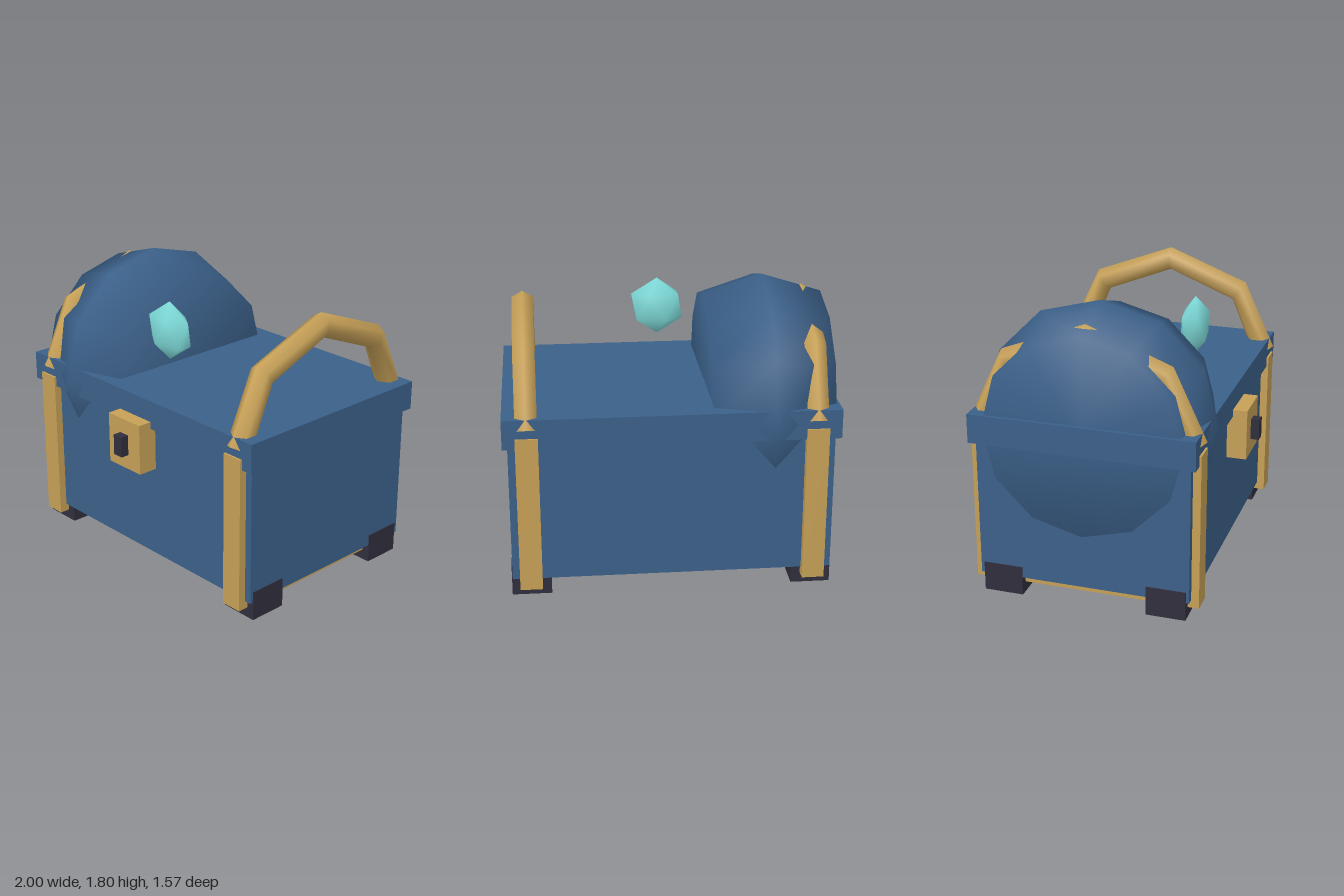
import * as THREE from 'three';
import { mergeVertices } from 'three/addons/utils/BufferGeometryUtils.js';

const MID_Z = -0.05;

export function createModel() {
  const group = new THREE.Group();
  const material = (name, color) => Object.assign(new THREE.MeshStandardMaterial({ color }), { name });
  const blue = material('blue', 0x3b6089);
  const gold = material('gold', 0xc6a057);
  const dark = material('dark', 0x302e3d);
  const aqua = material('aqua', 0x80dfdd);

  const add = (name, geometry, mat) => {
    const mesh = new THREE.Mesh(geometry, mat);
    mesh.name = name;
    group.add(mesh);
    return mesh;
  };
  // box from its minimum and maximum on each axis
  const box = (name, mat, [x0, x1], [y0, y1], [z0, z1]) =>
    add(name, new THREE.BoxGeometry(x1 - x0, y1 - y0, z1 - z0), mat)
      .position.set((x0 + x1) / 2, (y0 + y1) / 2, (z0 + z1) / 2);

  // chest body and lid slab
  box('body', blue, [-0.97, 0.97], [0.115, 0.99], [-0.703, 0.607]);
  box('lidRim', blue, [-1, 1], [0.975, 1.155], [-0.742, 0.642]);

  // lock and keyhole
  box('lockPlate', gold, [-0.142, 0.142], [0.7, 1.02], [0.58, 0.732]);
  box('keyhole', dark, [-0.035, 0.035], [0.795, 0.925], [0.7, 0.785]);

  for (const side of [-1, 1]) {
    const label = side > 0 ? 'left' : 'right';
    const span = (a, b) => (side > 0 ? [a, b] : [-b, -a]);
    // strap wrapped round the front, underside and back
    box(label + 'Strap', gold, span(0.79, 0.925), [0.065, 1.04], [-0.752, 0.655]);
    // corner feet
    box(label + 'FrontFoot', dark, span(0.735, 0.975), [0, 0.185], [0.343, 0.587]);
    box(label + 'BackFoot', dark, span(0.735, 0.975), [0, 0.185], [-0.682, -0.437]);
    // hoop over the lid
    add(label + 'Hoop', hoopGeometry(), gold).position.set(side * 0.857, 0, MID_Z);
  }

  // barrel bulge at one end of the lid, smooth-shaded with 12 sides
  const profile = [[0, -0.365], [0.615, -0.365], [0.73, 0], [0.615, 0.365], [0, 0.365]]
    .map(([r, y]) => new THREE.Vector2(r, y));
  const bulge = new THREE.LatheGeometry(profile, 12).rotateZ(Math.PI / 2);
  add('lidBulge', bulge, blue).position.set(-0.614, 1.068, MID_Z);

  // flattened gem, point upward
  let gem = new THREE.IcosahedronGeometry(0.184, 0);
  gem.rotateZ(-Math.atan(2 / (1 + Math.sqrt(5)))).scale(1, 1, 0.5);
  gem.deleteAttribute('normal');
  gem.deleteAttribute('uv');
  gem = mergeVertices(gem, 1e-4);
  gem.computeVertexNormals();
  add('gem', gem, aqua).position.set(0, 1.494, 0.356);

  return group;
}

// six-sided tube bent through five rings: [along, height, outward angle]
function hoopGeometry() {
  const rings = [
    [0.652, 1.07, 25], [0.475, 1.469, 56], [0, 1.655, 90],
    [-0.475, 1.469, 124], [-0.652, 1.07, 155],
  ];
  const sides = 6, radius = 0.075;
  const geometry = new THREE.TorusGeometry(1, radius, sides, rings.length - 1, Math.PI);
  const { position, normal } = geometry.attributes;
  for (let j = 0; j <= sides; j++) {
    const v = (j / sides) * Math.PI * 2;
    rings.forEach(([x, y, degrees], i) => {
      const a = THREE.MathUtils.degToRad(degrees);
      const n = [Math.cos(v) * Math.cos(a), Math.cos(v) * Math.sin(a), Math.sin(v)];
      const k = j * rings.length + i;
      position.setXYZ(k, x + radius * n[0], y + radius * n[1], radius * n[2]);
      normal.setXYZ(k, ...n);
    });
  }
  return geometry.rotateY(-Math.PI / 2);
}
